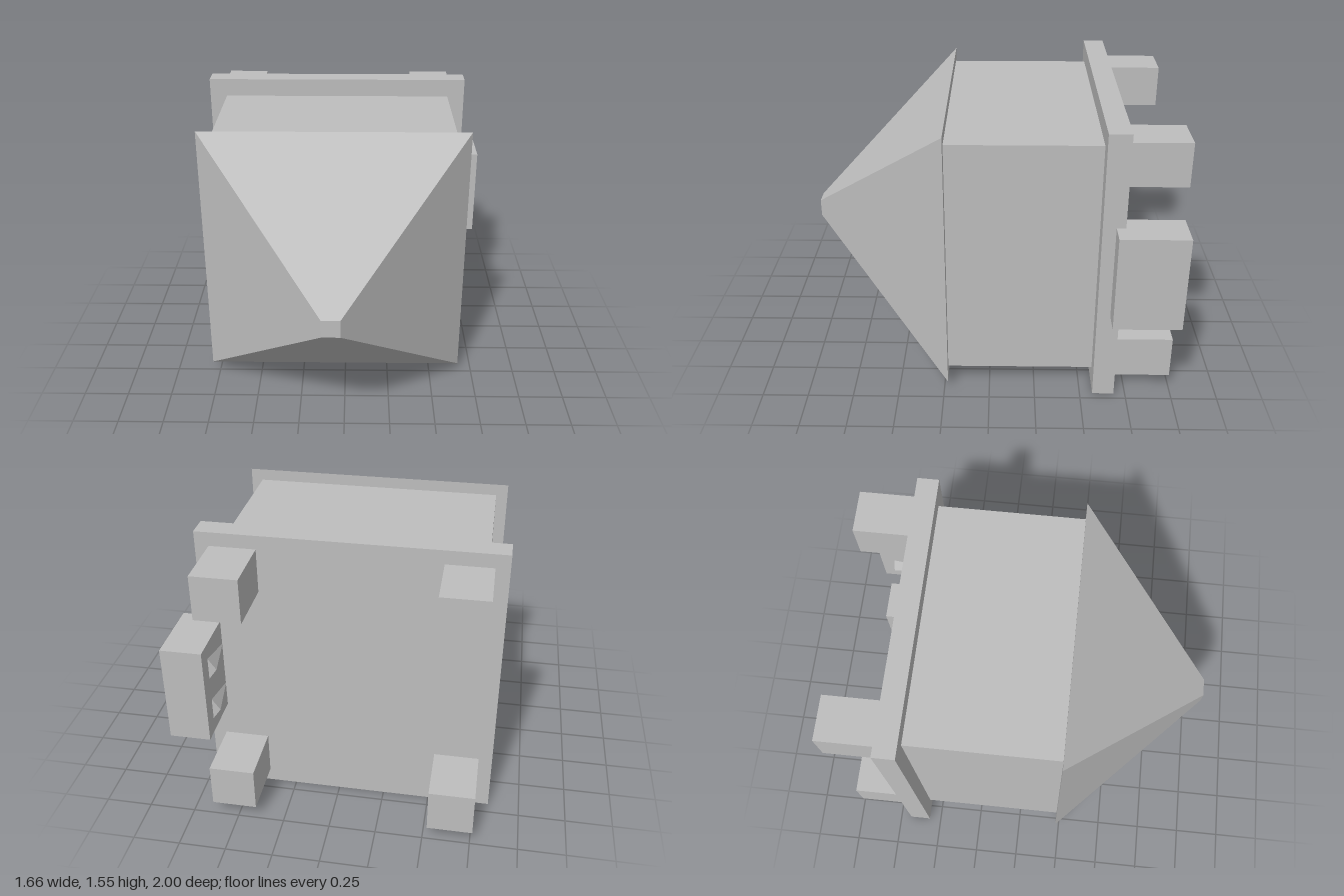
import * as THREE from 'three';

export function createModel() {
  const model = new THREE.Group();
  const grey = new THREE.MeshStandardMaterial({ color: 0xbebebe });
  grey.name = 'plain grey';

  const add = (name, geometry) => {
    const mesh = new THREE.Mesh(geometry, grey);
    mesh.name = name;
    model.add(mesh);
    return mesh;
  };

  // Box given by its extents on each axis
  const box = (name, [x0, x1], [y0, y1], [z0, z1]) =>
    add(name, new THREE.BoxGeometry(x1 - x0, y1 - y0, z1 - z0))
      .position.set((x0 + x1) / 2, (y0 + y1) / 2, (z0 + z1) / 2);

  // Four-sided taper along +z, with crisp faces
  const taper = (tipRadius, baseRadius, length, turn) => {
    const g = new THREE.CylinderGeometry(tipRadius, baseRadius, length, 4, 1, false, turn)
      .rotateX(Math.PI / 2).toNonIndexed();
    g.computeVertexNormals();
    return g;
  };

  const cx = -0.062, cy = 0.774;

  // Main block and the rim plate behind it
  box('body', [-0.733, 0.609], [0.104, 1.444], [-0.57, 0.23]);
  box('backPlate', [-0.833, 0.709], [0, 1.547], [-0.688, -0.57]);

  // Truncated pyramid nose, overhanging the body
  const nose = add('nose', taper(0.048 * Math.SQRT2, 0.733 * Math.SQRT2, 0.77, Math.PI / 4));
  nose.position.set(cx, cy, 0.615);

  // Four pegs on the back
  for (const sx of [-1, 1]) {
    for (const sy of [-1, 1]) {
      const x = cx + sx * 0.58, y = cy + sy * 0.58;
      box('backPeg', [x - 0.119, x + 0.119], [y - 0.119, y + 0.119], [-1, -0.688]);
    }
  }

  // Side block with two small teeth on its inner face
  box('sideBlock', [0.615, 0.828], [0.51, 1.04], [-1, -0.64]);
  for (const y of [0.65, 0.9]) {
    const tooth = add('tooth', taper(0, 0.06, 0.24, 0));
    tooth.scale.x = 0.7;
    tooth.position.set(0.615, y, -0.80);
  }

  return model;
}
